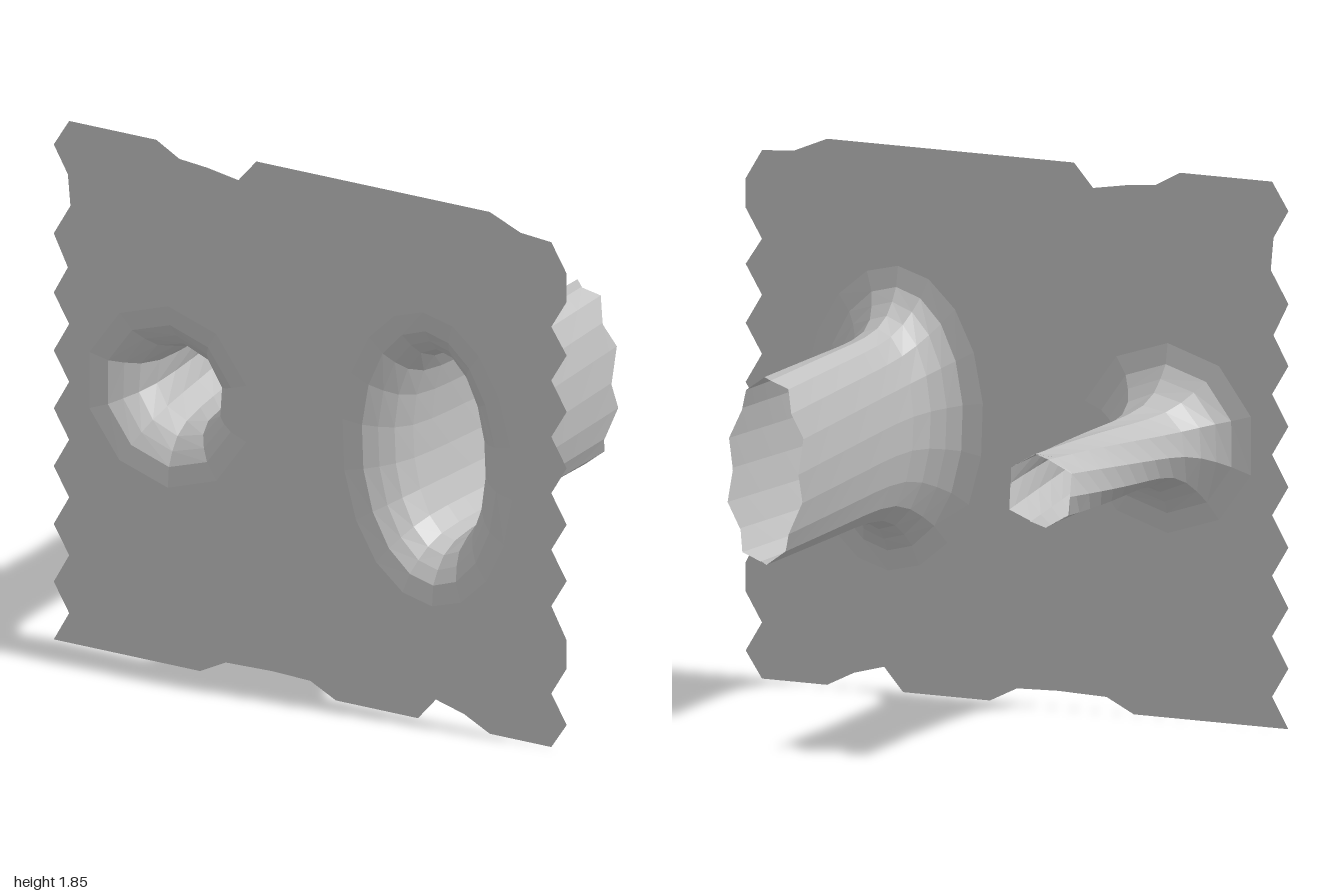
import * as THREE from 'three';

const FRONT = 0.5, BACK = -0.5;

// Flare profile: [outward offset, z], from the sheet into the straight tube
const FLARE = [[0.2, 0.5], [0.13, 0.49], [0.085, 0.46], [0.045, 0.42], [0.015, 0.35], [0.003, 0.25]];

const TUBES = [
  { name: 'roundTube', x: -0.555, y: 0.947, rx: 0.122, ry: 0.122, tilt: 0, sides: 10, twist: -0.9 },
  { name: 'ovalTube', x: 0.457, y: 0.925, rx: 0.133, ry: 0.318, tilt: 0.035, sides: 18, twist: 0.15 },
];

// One cross-section of a tube, widened by offset and turned with depth
function ring(t, offset, z) {
  const points = [];
  const turn = t.twist * (FRONT - z);
  for (let i = 0; i < t.sides; i++) {
    const a = (i / t.sides) * Math.PI * 2 + turn + Math.PI / 2;
    const u = (t.rx + offset) * Math.cos(a);
    const v = (t.ry + offset) * Math.sin(a);
    points.push(new THREE.Vector3(
      t.x + u * Math.cos(t.tilt) - v * Math.sin(t.tilt),
      t.y + u * Math.sin(t.tilt) + v * Math.cos(t.tilt),
      z));
  }
  return points;
}

// Flared tube skinned through its cross-sections, with a ragged open back end
function buildTube(t, material) {
  const rings = FLARE.map(([offset, z]) => ring(t, offset, z));
  for (let k = 1; k <= 7; k++) rings.push(ring(t, 0, 0.25 - k * 0.1));
  const end = ring(t, 0, BACK);
  end.forEach((p, i) => { if (i % 2) p.z += 0.055; });
  rings.push(end);

  const n = t.sides, index = [];
  for (let k = 0; k < rings.length - 1; k++) {
    for (let i = 0; i < n; i++) {
      const j = (i + 1) % n;
      const a = k * n + i, b = k * n + j, c = a + n, d = b + n;
      if (t.twist < 0) index.push(a, c, b, b, c, d);
      else index.push(a, d, b, a, c, d);
    }
  }
  const geometry = new THREE.BufferGeometry().setFromPoints(rings.flat());
  geometry.setIndex(index);
  const flat = geometry.toNonIndexed();
  flat.computeVertexNormals();
  const mesh = new THREE.Mesh(flat, material);
  mesh.name = t.name;
  return mesh;
}

// Flat sheet with ragged edges and an opening for each flare
function buildSheet(material) {
  const outline = [[-1, 0]];
  // bottom edge
  outline.push([-0.43, 0], [-0.33, 0.05], [-0.15, 0.055], [0, 0.05], [0.1, 0], [0.42, 0],
    [0.49, 0.08], [0.6, 0.05], [0.7, 0], [0.94, 0]);
  // right edge
  outline.push([1, 0.09], [0.94, 0.19], [1, 0.29], [1, 0.39]);
  for (let k = 0; k < 5; k++) outline.push([0.94, 0.5 + k * 0.2], [1, 0.6 + k * 0.2]);
  outline.push([0.94, 1.49], [1, 1.59], [1, 1.69], [0.94, 1.79]);
  // top edge
  outline.push([0.82, 1.8], [0.7, 1.85], [-0.21, 1.85], [-0.28, 1.77], [-0.4, 1.79],
    [-0.51, 1.8], [-0.6, 1.85], [-0.94, 1.85]);
  // left edge
  outline.push([-1, 1.755], [-0.945, 1.66], [-0.935, 1.55], [-1, 1.44], [-0.945, 1.33]);
  for (let k = 6; k >= 1; k--) outline.push([-1, k * 0.205], [-0.94, k * 0.205 - 0.1]);

  const shape = new THREE.Shape(outline.map(([x, y]) => new THREE.Vector2(x, y)));
  for (const t of TUBES) {
    shape.holes.push(new THREE.Path(ring(t, FLARE[0][0], FRONT).map((p) => new THREE.Vector2(p.x, p.y))));
  }
  const mesh = new THREE.Mesh(new THREE.ShapeGeometry(shape), material);
  mesh.position.z = FRONT;
  mesh.name = 'sheet';
  return mesh;
}

export function createModel() {
  const grey = new THREE.MeshStandardMaterial({ color: 0xc0c0c0, flatShading: true, side: THREE.DoubleSide });
  grey.name = 'light grey';
  const model = new THREE.Group();
  model.name = 'sheetWithTubes';
  model.add(buildSheet(grey));
  for (const t of TUBES) model.add(buildTube(t, grey));
  return model;
}
